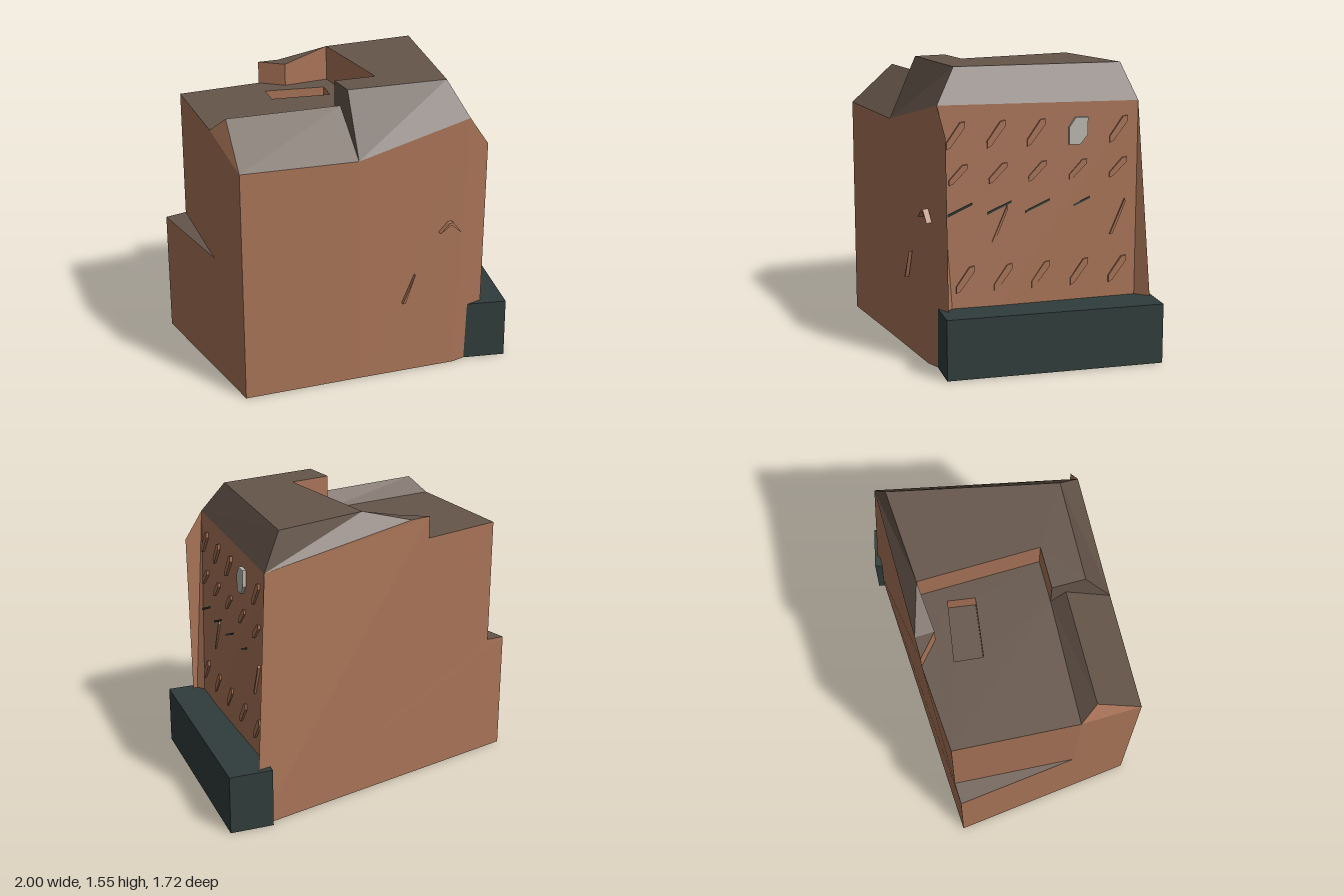
import * as THREE from 'three';

const mat = (name, color) => {
  const m = new THREE.MeshStandardMaterial({ color, side: THREE.DoubleSide });
  m.name = name;
  return m;
};

// Point helper: plan position plus height
const p = (x, y, z) => new THREE.Vector3(x, y, z);
const at = (v, y) => p(v.x, y, v.z);

// Flat polygon (optionally with one hole), triangulated along its dominant axis
function face(pts, hole) {
  const n = new THREE.Vector3();
  pts.forEach((a, i) => n.add(a.clone().cross(pts[(i + 1) % pts.length])));
  const ax = Math.abs(n.x), ay = Math.abs(n.y), az = Math.abs(n.z);
  const flat = (v) => ay >= ax && ay >= az ? new THREE.Vector2(v.z, v.x)
    : az >= ax ? new THREE.Vector2(v.x, v.y) : new THREE.Vector2(v.y, v.z);
  const contour = pts.map(flat);
  const tris = THREE.ShapeUtils.triangulateShape(contour, hole ? [hole.map(flat)] : []);
  const all = hole ? [...pts, ...hole] : pts;
  const sign = ay >= ax && ay >= az ? n.y : az >= ax ? n.z : n.x;
  const area = THREE.ShapeUtils.area(contour);
  const out = [];
  for (const t of tris) {
    const [a, b, c] = t.map((i) => all[i]);
    const order = sign * area >= 0 ? [a, b, c] : [a, c, b];
    order.forEach((v) => out.push(v.x, v.y, v.z));
  }
  return out;
}

function shell(name, material, faces) {
  const g = new THREE.BufferGeometry();
  g.setAttribute('position', new THREE.Float32BufferAttribute(faces.flat(), 3));
  g.computeVertexNormals();
  const m = new THREE.Mesh(g, material);
  m.name = name;
  return m;
}

// Small extruded plate from a 2D outline
function plate(name, material, outline, depth, pos, angle) {
  const s = new THREE.Shape(outline.map(([x, y]) => new THREE.Vector2(x, y)));
  const m = new THREE.Mesh(new THREE.ExtrudeGeometry(s, { depth, bevelEnabled: false }), material);
  m.name = name;
  m.position.copy(pos);
  m.rotation.y = angle;
  return m;
}

export function createModel() {
  const model = new THREE.Group();
  model.name = 'building';
  const wall = mat('brick', 0xa87357);
  const roof = mat('roof brown', 0x65554a);
  const dark = mat('dark green', 0x303d3b);
  const pale = mat('pale glass', 0xb9b9b0);

  // Key corners of walls and roofs
  const A = p(-1, 1.23, 0.04), B = p(-0.59, 0.66, -0.865);
  const Bu = p(-0.49, 1.36, -0.81), D = p(-0.86, 1.36, -0.27);
  const R = p(-0.86, 1.44, -0.16), S = p(-0.35, 1.44, 0.167);
  const E = p(-0.48, 1.22, 0.38), T = p(-0.4, 1.55, 0.25);
  const U = p(-0.31, 1.55, 0.1), K = at(U, 1.36);
  const F = p(0.05, 1.55, 0.55), G = p(0.05, 1.37, 0.7);
  const H = p(0.66, 1.55, -0.1), I = p(0.78, 1.36, -0.08);
  const L = p(0.2, 1.55, -0.34), N = p(-0.12, 1.55, 0.22);
  const M = p(0.02, 1.48, -0.54), Q = p(-0.08, 1.48, -0.6), P = p(-0.03, 1.48, -0.45);
  const J = p(0.14, 1.22, 0.755), J0 = p(0.14, 0, 0.735);
  const C0 = p(0.87, 0, -0.08), W0 = p(-0.03, 0, 0.68);
  const fl = p(0.14, 0, 0.67), fr = p(0.78, 0, -0.07);

  model.add(shell('backWall', wall, [
    face([at(B, 0), B, at(Bu, 0.67), Bu, at(Q, 1.36), Q, M, I, at(C0, 0.32), C0]),
  ]));
  model.add(shell('sideWall', wall, [
    face([at(A, 0), at(B, 0), B, at(D, 0.66), D, A]),
    face([at(Bu, 0.67), at(D, 0.66), D, Bu]),
    face([A, D, R]),
  ]));
  model.add(shell('sideLedge', roof, [face([B, at(Bu, 0.67), at(D, 0.66)])]));
  model.add(shell('frontWall', wall, [
    face([at(A, 0), at(E, 0), E, A]),
    face([at(E, 0), W0, G, E]),
    face([W0, J0, J, G]),
  ]));
  model.add(shell('facade', wall, [
    face([fl, fr, I, G]),
    face([J0, fl, G, J]),
    face([fr, C0, at(C0, 0.32), I]),
  ]));

  // Sloped roof faces and the high flat roof
  model.add(shell('highRoof', roof, [
    face([T, F, H, L, N, U]),
    face([E, F, T]), face([E, G, F]),
    face([G, I, H, F]),
    face([I, M, L]), face([I, L, H]),
    face([E, T, U, K]),
    face([L, M, P]),
    face([P, M, Q]),
  ]));

  // Low roof with a sunken pit
  const pit = [p(-0.27, 1.36, -0.35), p(-0.02, 1.36, -0.15), p(0.07, 1.36, -0.26), p(-0.18, 1.36, -0.47)];
  const floor = pit.map((v) => at(v, 1.26));
  model.add(shell('lowRoof', roof, [
    face([D, K, at(N, 1.36), at(L, 1.36), at(P, 1.36), at(Q, 1.36), Bu], pit),
    face([A, E, S, R]),
    face([R, S, K, D]),
    face(floor),
  ]));
  const drop = (a, b) => face([at(a, 1.36), at(b, 1.36), b, a]);
  model.add(shell('roofStepWalls', wall, [
    drop(N, L), drop(U, N), drop(P, Q), drop(L, P),
    ...pit.map((v, i) => {
      const j = (i + 1) % 4;
      return face([v, pit[j], floor[j], floor[i]]);
    }),
  ]));

  // Plinth along the facade
  const plinth = new THREE.Mesh(new THREE.BoxGeometry(1.153, 0.32, 0.233), dark);
  plinth.name = 'plinth';
  plinth.position.set(0.52, 0.16, 0.36);
  plinth.rotation.y = Math.atan2(0.84, 0.79);
  model.add(plinth);

  // Slanted window reveals in a grid across the facade
  const angle = Math.atan2(0.78, 0.73);
  const spot = (u, y) => {
    const a = fl.clone().lerp(G, y / 1.37), b = fr.clone().lerp(I, y / 1.36);
    return at(a.lerp(b, u), y);
  };
  const sliver = [[-0.05, -0.07], [-0.03, -0.06], [0.045, 0.04], [0.045, 0.07], [0.02, 0.065], [-0.05, -0.035]];
  const low = sliver.map(([x, y]) => [x, y * 0.75]);
  const slash = [[-0.07, -0.03], [0.06, 0.028], [0.06, 0.038], [-0.07, -0.018]];
  const streak = [[-0.045, -0.15], [-0.03, -0.15], [0.04, 0.02], [0.035, 0.035]];
  const hexagon = [[-0.05, -0.07], [0.01, -0.07], [0.05, -0.02], [0.05, 0.07], [-0.015, 0.07], [-0.05, 0.02]];
  const windows = new THREE.Group();
  windows.name = 'facadeWindows';
  [0.08, 0.28, 0.48, 0.69, 0.9].forEach((u, i) => {
    if (i === 3) windows.add(plate('paleWindow', pale, hexagon, 0.02, spot(u, 1.215), angle));
    else windows.add(plate('topWindow', wall, sliver, 0.015, spot(u, 1.215), angle));
    windows.add(plate('upperWindow', wall, low, 0.015, spot(u, 1.015), angle));
    if (i < 4) windows.add(plate('darkSlash', dark, slash, 0.009, spot(u, 0.83), angle));
    if (i === 1 || i === 4) windows.add(plate('longWindow', wall, streak, 0.015, spot(u, 0.81), angle));
    windows.add(plate('lowerWindow', wall, sliver, 0.015, spot(u, 0.47), angle));
  });
  model.add(windows);

  // Small details on the front wall
  model.add(plate('frontSliver', wall, [[-0.035, -0.075], [-0.02, -0.075], [0.035, 0.08]], 0.02, p(-0.25, 0.475, 0.53), -0.57));
  model.add(plate('frontHood', wall, [[-0.06, -0.02], [0, 0.02], [0.06, -0.03], [0.01, 0.035], [-0.01, 0.03]], 0.03, p(-0.05, 0.79, 0.65), -0.57));
  model.add(plate('frontVent', dark, hexagon.map(([x, y]) => [x * 0.7, y * 0.7]), 0.02, p(-0.05, 0.78, 0.62), -0.57));
  return model;
}
